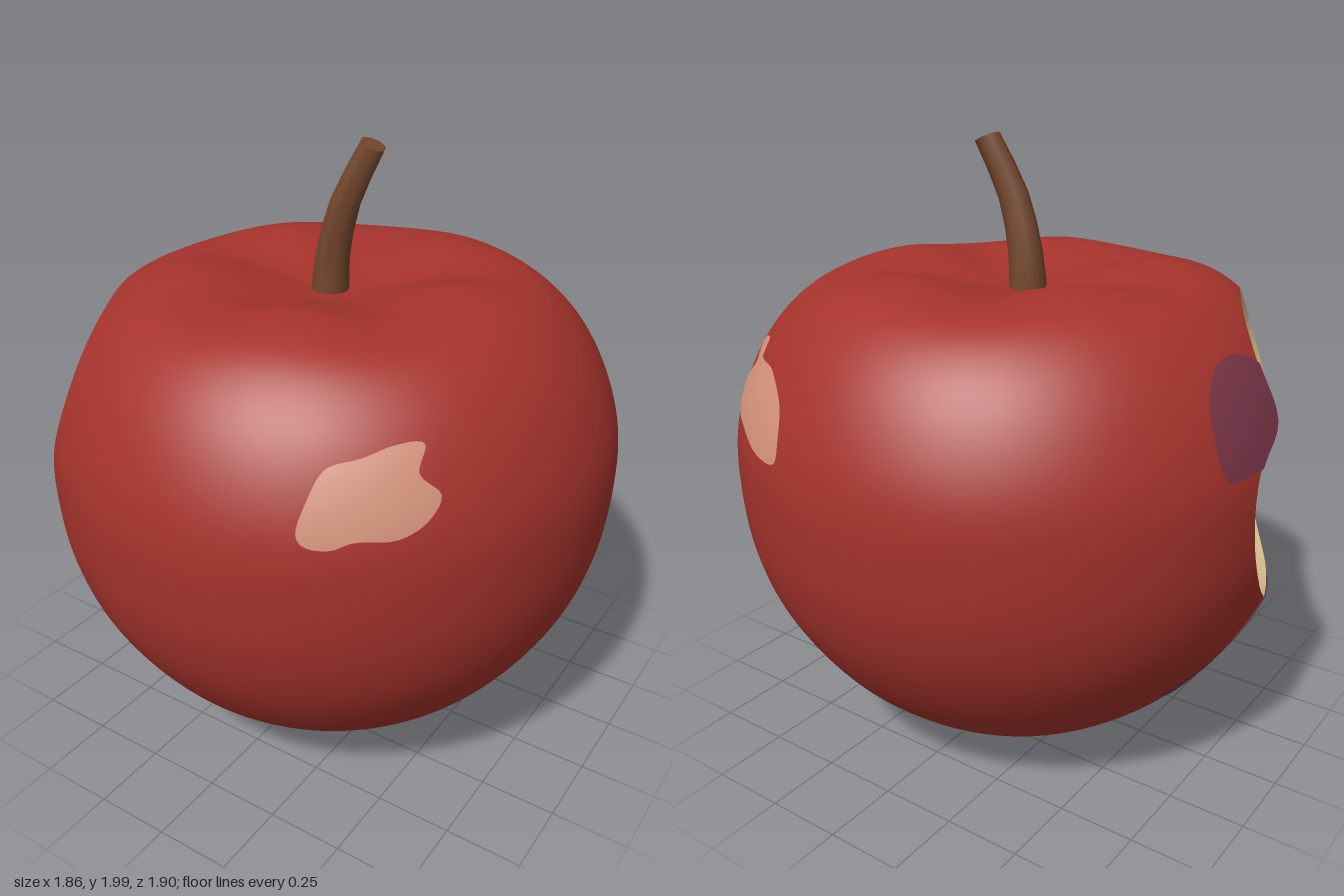
import * as THREE from 'three';
import { mergeVertices } from 'three/addons/utils/BufferGeometryUtils.js';

const mat = (name, color, side = THREE.FrontSide) => {
  const m = new THREE.MeshStandardMaterial({ color, side });
  m.name = name;
  return m;
};
const clamp = THREE.MathUtils.clamp;

// Half profile (radius, height) from the bottom dimple to the stem cavity
const PROFILE = new THREE.SplineCurve([
  [0, 0.06], [0.07, 0.04], [0.15, 0.012], [0.24, 0.018], [0.43, 0.085], [0.665, 0.27],
  [0.83, 0.5], [0.912, 0.72], [0.938, 0.95], [0.925, 1.13], [0.86, 1.31], [0.765, 1.45],
  [0.64, 1.545], [0.48, 1.58], [0.34, 1.567], [0.2, 1.535], [0.08, 1.513], [0, 1.51],
].map(([r, y]) => new THREE.Vector2(r, y))).getPoints(130);
const DEPTH = 1.013; // the fruit is slightly deeper than wide

const onSkin = (r, phi, y) => new THREE.Vector3(r * Math.sin(phi), y, r * Math.cos(phi) * DEPTH);

// Five soft lobes around the shoulder and the base
const lobe = (r, phi, y) => Math.cos(5 * (phi - Math.PI / 2)) * (y > 0.9
  ? 0.016 * Math.exp(-(((r - 0.42) / 0.2) ** 2))
  : 0.007 * Math.exp(-(((r - 0.17) / 0.09) ** 2)));

// Outer radius of the skin at a height
function radiusAt(y) {
  for (let i = 1; i < PROFILE.length; i++) {
    const a = PROFILE[i - 1], b = PROFILE[i];
    if (a.y <= y && b.y >= y && b.x > 0.3) return a.x + (b.x - a.x) * (y - a.y) / (b.y - a.y || 1);
  }
  return 0;
}

// Bite frame: u points out through the bite, t runs sideways, y is up
const U = new THREE.Vector3(-0.93, 0, 0.367), T = new THREE.Vector3(0.367, 0, 0.93);
const BITE = U.clone().setY(1.02);

// Negative inside the bitten-out volume, with a tooth ridge across the middle
function bite(p) {
  const da = p.dot(U) - 1, t = p.dot(T), dy = p.y - 1.02;
  const power = 3.5 + 1.5 * clamp(t / 0.25, -1, 1);
  const ridge = 0.16 + 0.25 * clamp(-t / 0.3, 0, 1);
  const ridgeY = 1.03 - Math.min(t, 0) * 0.6;
  return (da / 0.42) ** 2 + (t / (t < 0 ? 0.56 : 0.64)) ** 2
    + Math.abs(dy / (dy > 0 ? 0.6 : 0.5)) ** power
    + ridge * Math.exp(-(((p.y - ridgeY) / 0.16) ** 2)) - 1;
}

// Positive inside the uncut fruit
function inside(p) {
  const z = p.z / DEPTH, r = Math.hypot(p.x, z);
  return radiusAt(p.y - lobe(r, Math.atan2(p.x, z), p.y)) - r;
}

// Grid of points turned into a smooth surface, kept only where field > 0
function clippedGrid(cols, rows, point, field) {
  const pts = [], out = [];
  for (let j = 0; j <= rows; j++) for (let i = 0; i <= cols; i++) {
    const p = point(i / cols, j / rows);
    pts.push({ p, f: field(p) });
  }
  const clip = (tri) => {
    const poly = [];
    tri.forEach((a, k) => {
      const b = tri[(k + 1) % 3];
      if (a.f > 0) poly.push(a.p);
      if ((a.f > 0) !== (b.f > 0)) {
        // Interpolate from the kept end so neighbours share the same point
        const [s, e] = a.f > 0 ? [a, b] : [b, a];
        poly.push(s.p.clone().lerp(e.p, s.f / (s.f - e.f)));
      }
    });
    for (let k = 2; k < poly.length; k++) {
      const [a, b, c] = [poly[0], poly[k - 1], poly[k]];
      if (a.distanceTo(b) < 1e-6 || b.distanceTo(c) < 1e-6 || a.distanceTo(c) < 1e-6) continue;
      for (const v of [a, b, c]) out.push(v.x, v.y, v.z);
    }
  };
  for (let j = 0; j < rows; j++) for (let i = 0; i < cols; i++) {
    const a = pts[j * (cols + 1) + i], b = pts[j * (cols + 1) + i + 1];
    const d = pts[(j + 1) * (cols + 1) + i], c = pts[(j + 1) * (cols + 1) + i + 1];
    clip([a, b, c]);
    clip([a, c, d]);
  }
  const g = new THREE.BufferGeometry();
  g.setAttribute('position', new THREE.Float32BufferAttribute(out, 3));
  const merged = mergeVertices(g, 1e-5);
  merged.computeVertexNormals();
  return merged;
}

// Thin patch hugging the skin; outline is given as (angle, height)
function patch(outline) {
  const corners = outline.map(([a, y]) => new THREE.Vector3(a, y, 0));
  if (THREE.ShapeUtils.isClockWise(corners)) corners.reverse();
  const mid = new THREE.Vector3();
  corners.forEach((p) => mid.addScaledVector(p, 1 / corners.length));
  const n = corners.length * 5;
  const edge = new THREE.CatmullRomCurve3(corners, true, 'centripetal').getPoints(n);
  return clippedGrid(n, 8, (s, k) => {
    const q = edge[Math.round(s * n) % n].clone().lerp(mid, k);
    return onSkin(radiusAt(q.y) + 0.006, q.x, q.y + 0.002);
  }, bite);
}
const fromX = ([x, y]) => [Math.asin(clamp(x / radiusAt(y), -1, 1)), y];
const fromZ = (sign) => ([z, y]) => [sign * Math.acos(clamp(z / radiusAt(y) / DEPTH, -1, 1)), y];

// Tapered stem that leans left with a bend near the tip
function stemGeometry() {
  const curve = new THREE.CatmullRomCurve3([
    [-0.022, 1.49, 0], [-0.012, 1.62, 0], [0.035, 1.8, 0], [0.115, 1.98, -0.03],
  ].map((p) => new THREE.Vector3(...p)));
  const g = new THREE.CylinderGeometry(1, 1, 1, 8, 6);
  const pos = g.attributes.position;
  for (let i = 0; i < pos.count; i++) {
    const k = clamp(pos.getY(i) + 0.5, 0, 1);
    const c = curve.getPoint(k), t = curve.getTangent(k), r = 0.064 - 0.022 * k;
    const side = new THREE.Vector3(t.y, -t.x, 0).normalize();
    c.addScaledVector(side, pos.getX(i) * r);
    c.z += pos.getZ(i) * r;
    pos.setXYZ(i, c.x, c.y, c.z);
  }
  g.computeVertexNormals();
  return g;
}

export function createModel() {
  const group = new THREE.Group();
  const skin = mat('red skin', 0xa6332c);
  const fleshMat = mat('cream flesh', 0xd8bf8e, THREE.DoubleSide);
  const shine = mat('pale blush', 0xd2917a, THREE.DoubleSide);
  const bruise = mat('purple bruise', 0x7b3649, THREE.DoubleSide);
  const bark = mat('brown stem', 0x74472c);
  const add = (name, geometry, material) => {
    const m = new THREE.Mesh(geometry, material);
    m.name = name;
    group.add(m);
  };

  // Skin with the bite cut away
  add('skin', clippedGrid(160, PROFILE.length - 1, (s, v) => {
    const { x: r, y } = PROFILE[Math.round(v * (PROFILE.length - 1))];
    const phi = (s % 1) * Math.PI * 2;
    return onSkin(r, phi, y + lobe(r, phi, y));
  }, bite), skin);

  // Flesh: the bite volume's wall, facing into the hollow
  add('bittenFlesh', clippedGrid(120, 80, (s, v) => {
    const dir = new THREE.Vector3().setFromSphericalCoords(1, v * Math.PI, (s % 1) * Math.PI * 2);
    let lo = 0, hi = 1.2;
    for (let i = 0; i < 24; i++) {
      const m = (lo + hi) / 2;
      if (bite(BITE.clone().addScaledVector(dir, m)) < 0) lo = m; else hi = m;
    }
    return dir.multiplyScalar(lo).add(BITE);
  }, inside), fleshMat);

  // Pale blush marks on the shoulders
  add('frontBlush', patch([
    [0.42, 1.16], [0.43, 1.25], [0.45, 1.32], [0.52, 1.345], [0.58, 1.37], [0.635, 1.365],
    [0.645, 1.3], [0.7, 1.24], [0.69, 1.18], [0.64, 1.14], [0.55, 1.14], [0.5, 1.12], [0.44, 1.13],
  ].map(fromX)), shine);
  add('backBlush', patch([
    [-0.61, 1.38], [-0.65, 1.4], [-0.69, 1.36], [-0.77, 1.35], [-0.85, 1.28], [-0.89, 1.2],
    [-0.91, 1.13], [-0.88, 1.12], [-0.8, 1.16], [-0.73, 1.18], [-0.66, 1.25], [-0.68, 1.33],
  ].map(fromZ(1))), shine);

  // Bruises beside and below the bite
  add('sideBruise', patch([
    [-0.3, 1.17], [-0.27, 1.33], [-0.18, 1.41], [-0.06, 1.42], [0.04, 1.36], [0.06, 1.24],
    [0, 1.12], [-0.15, 1.12], [-0.28, 1.12],
  ].map(fromZ(-1))), bruise);
  add('lowerBruise', patch([
    [-0.25, 0.34], [-0.12, 0.42], [0.08, 0.54], [0.3, 0.56], [0.4, 0.5], [0.47, 0.43],
    [0.36, 0.38], [0.22, 0.35], [0.2, 0.28], [0, 0.27], [-0.14, 0.3],
  ].map(fromZ(-1))), bruise);

  add('stem', stemGeometry(), bark);
  return group;
}
